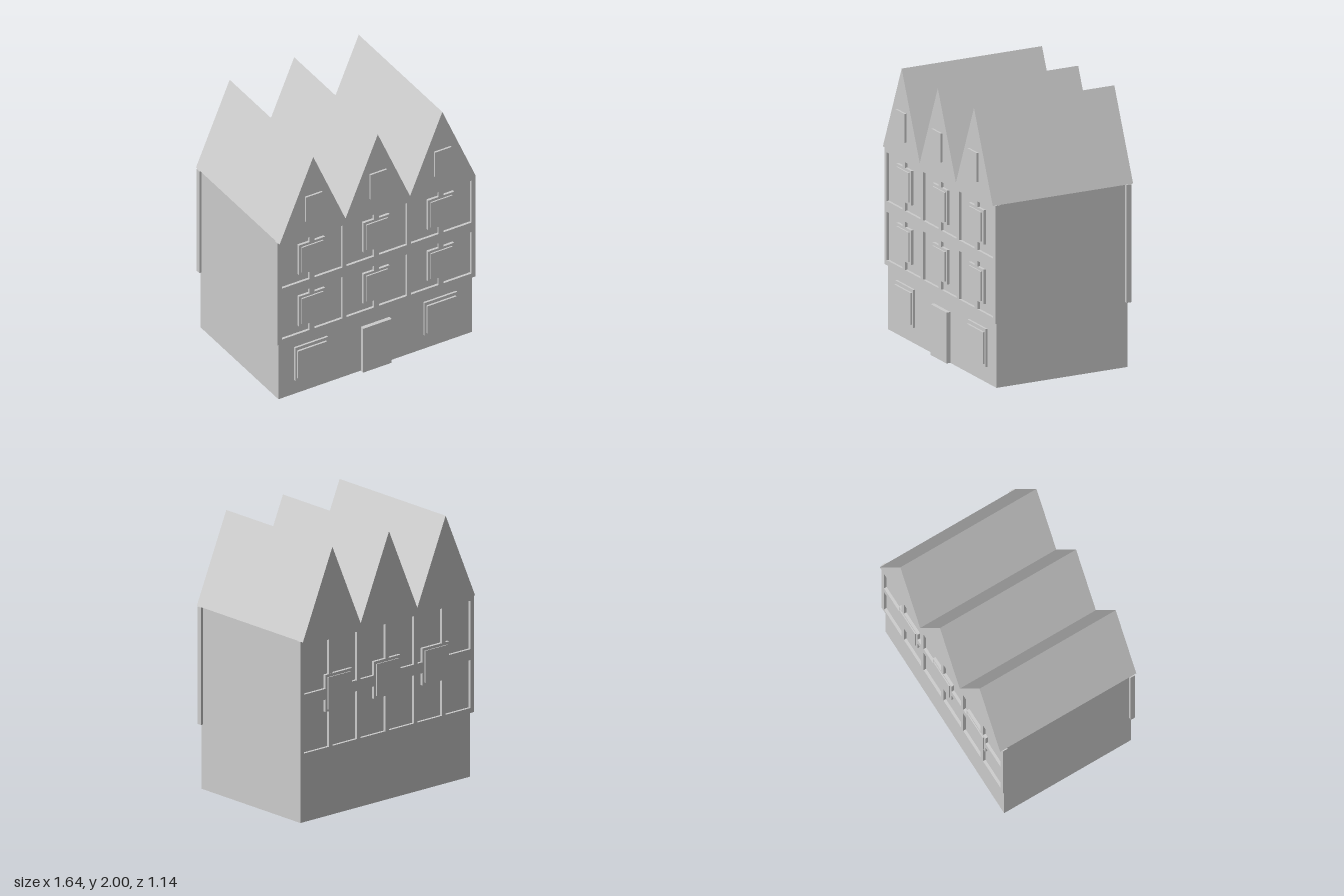
import * as THREE from 'three';

export function createModel() {
  const house = new THREE.Group();
  house.name = 'gabledHouse';
  const stone = new THREE.MeshStandardMaterial({ color: 0xcccccc });
  stone.name = 'paleGrey';

  const add = (name, geometry) => {
    const mesh = new THREE.Mesh(geometry, stone);
    mesh.name = name;
    house.add(mesh);
    return mesh;
  };
  // Box given by its limits on each axis
  const box = (name, x0, x1, y0, y1, z0, z1) =>
    add(name, new THREE.BoxGeometry(x1 - x0, y1 - y0, z1 - z0))
      .position.set((x0 + x1) / 2, (y0 + y1) / 2, (z0 + z1) / 2);
  const polygon = (points, Type = THREE.Shape) =>
    new Type(points.map(([x, y]) => new THREE.Vector2(x, y)));
  const extrude = (name, shape, z0, z1) => {
    const geometry = new THREE.ExtrudeGeometry(shape, { depth: z1 - z0, bevelEnabled: false });
    geometry.translate(0, 0, z0);
    add(name, geometry);
  };
  const facade = () => polygon([[-0.82, 0.48], [0.82, 0.48], [0.82, 1.35], [-0.82, 1.35]]);

  // Main walls
  box('walls', -0.8, 0.8, 0, 1.35, -0.53, 0.52);

  // Three roofs side by side, each with a gable window
  const bays = [-0.534, 0, 0.534];
  for (const x of bays) {
    extrude('roof', polygon([[x - 0.278, 1.35], [x + 0.278, 1.35], [x, 2]]), -0.57, 0.556);
    box('gableWindow', x - 0.068, x + 0.068, 1.472, 1.685, 0.54, 0.571);
  }

  // Front timber frame: each bay has a window surround held by two short posts
  const rows = [
    { low: 0.517, high: 0.873, middle: 0.705 },
    { low: 0.953, high: 1.312, middle: 1.143 },
  ];
  const front = facade();
  for (const x of bays) {
    for (const { low, high, middle } of rows) {
      for (const s of [-1, 1]) {
        const b = middle - 0.127, t = middle + 0.127;
        front.holes.push(polygon([
          [0.02, low], [0.25, low], [0.25, high], [0.02, high],
          [0.02, t], [0.108, t], [0.108, b], [0.02, b],
        ].map(([px, py]) => [x + s * px, py]), THREE.Path));
      }
      box('frontWindow', x - 0.089, x + 0.089, middle - 0.108, middle + 0.108, 0.52, 0.551);
    }
  }
  extrude('frontTimberFrame', front, 0.505, 0.54);

  // Back timber frame: six narrow panels in two rows
  const back = facade();
  for (let i = 0; i < 6; i++) {
    const x0 = -0.785 + i * 0.267, x1 = x0 + 0.235;
    for (const { low, high } of rows) {
      back.holes.push(polygon([[x0, low], [x1, low], [x1, high], [x0, high]], THREE.Path));
    }
  }
  extrude('backTimberFrame', back, -0.551, -0.513);

  // Back windows, set across the middle rail
  for (const x of [-0.457, 0, 0.457]) {
    box('backWindowSurround', x - 0.125, x + 0.125, 0.78, 1.055, -0.552, -0.52);
    box('backWindow', x - 0.106, x + 0.106, 0.798, 1.035, -0.56, -0.53);
  }

  // Ground floor windows and door
  for (const x of [-0.535, 0.535]) {
    box('groundWindowFrame', x - 0.135, x + 0.135, 0.12, 0.4, 0.5, 0.536);
    box('groundWindow', x - 0.12, x + 0.12, 0.14, 0.375, 0.52, 0.551);
  }
  box('door', -0.118, 0.118, 0, 0.375, 0.5, 0.551);

  return house;
}
